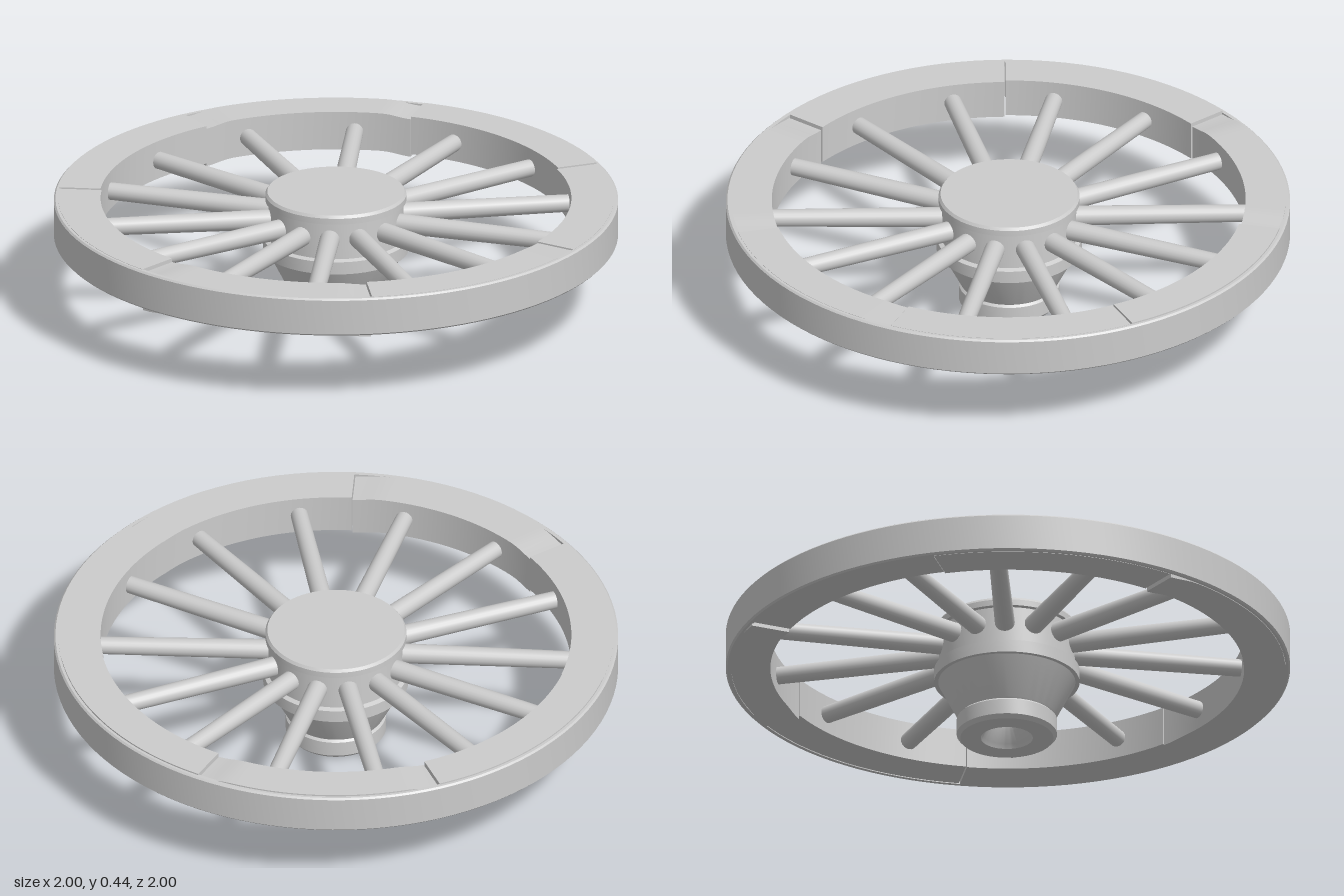
import * as THREE from 'three';
import { toCreasedNormals } from 'three/addons/utils/BufferGeometryUtils.js';

const material = new THREE.MeshStandardMaterial({ color: 0xcccccc });
const rad = THREE.MathUtils.degToRad;

function part(name, geometry) {
  const mesh = new THREE.Mesh(geometry, material);
  mesh.name = name;
  return mesh;
}

// Turned solid from a profile of [radius, height] points, bottom to top
function turned(points, segments = 64) {
  const profile = points.map(([r, y]) => new THREE.Vector2(r, y));
  return toCreasedNormals(new THREE.LatheGeometry(profile, segments), rad(30));
}

// One curved rim block: a box bent round the axle, its top and bottom easing in at the ends
function felloeGeometry(start, sweep, { lift, endDrop, startDrop, inner }) {
  const geo = new THREE.BoxGeometry(1, 1, 1, 28, 1, 1);
  const p = geo.attributes.position;
  for (let i = 0; i < p.count; i++) {
    const t = p.getX(i) + 0.5;
    const angle = start - t * sweep;
    const radius = p.getZ(i) > 0 ? 0.984 : inner;
    const drop = startDrop * (1 - THREE.MathUtils.smoothstep(t, 0, 0.14))
      + endDrop * THREE.MathUtils.smoothstep(t, 0.86, 1);
    const y = 0.34 + lift + p.getY(i) * 0.142 - drop;
    p.setXYZ(i, Math.cos(angle) * radius, y, Math.sin(angle) * radius);
  }
  return toCreasedNormals(geo, rad(30));
}

export function createModel() {
  const wheel = new THREE.Group();
  wheel.name = 'cartWheel';

  // Iron tyre: a thin closed band
  wheel.add(part('tyre', turned([
    [0.98, 0.27], [0.994, 0.27], [1, 0.276], [1, 0.404],
    [0.994, 0.41], [0.98, 0.41], [0.98, 0.27],
  ], 112)));

  // Seven rim blocks, hand fitted with slight unevenness
  const felloes = new THREE.Group();
  felloes.name = 'felloes';
  const step = (Math.PI * 2) / 7;
  const fit = [
    { lift: 0.0, startDrop: 0, endDrop: 0.004, inner: 0.837 },
    { lift: 0.0, startDrop: 0, endDrop: 0, inner: 0.834 },
    { lift: 0.004, startDrop: 0, endDrop: 0, inner: 0.838 },
    { lift: 0.004, startDrop: 0.012, endDrop: 0.012, inner: 0.842 },
    { lift: 0.004, startDrop: 0, endDrop: 0, inner: 0.838 },
    { lift: 0.0, startDrop: 0, endDrop: 0, inner: 0.834 },
    { lift: -0.001, startDrop: 0.011, endDrop: 0.008, inner: 0.837 },
  ];
  const gap = 0.002;
  fit.forEach((f, i) => {
    const start = Math.PI / 2 - i * step - gap;
    felloes.add(part('felloe', felloeGeometry(start, step - gap * 2, f)));
  });
  wheel.add(felloes);

  // Fourteen spokes, each a degree or so off true
  const spokes = new THREE.Group();
  spokes.name = 'spokes';
  const skew = [-1.7, -0.7, -0.6, 0, 0, 0, 0, 0, -1, -2.6, -1.5, -1, -1.3, -1.8];
  const spokeGeo = new THREE.CylinderGeometry(0.031, 0.036, 0.66, 20);
  spokeGeo.rotateZ(-Math.PI / 2).translate(0.52, 0.342, 0);
  skew.forEach((offset, i) => {
    const spoke = part('spoke', spokeGeo);
    spoke.rotation.y = -(i / 14) * Math.PI * 2 - rad(offset);
    spokes.add(spoke);
  });
  wheel.add(spokes);

  // Hub: bored nose collar, cone, band, spoke seat and cap
  const hub = part('hub', turned([
    [0, 0.1], [0.055, 0.1], [0.06, 0.06], [0.085, 0.02], [0.092, 0.004],
    [0.165, 0.004], [0.178, 0.018], [0.178, 0.074], [0.17, 0.082],
    [0.174, 0.088], [0.243, 0.222], [0.258, 0.222], [0.258, 0.268],
    [0.242, 0.274], [0.238, 0.405], [0.25, 0.408], [0.25, 0.43],
    [0.243, 0.44], [0, 0.44],
  ]));
  hub.position.set(0, -0.004, -0.004);
  wheel.add(hub);

  return wheel;
}
